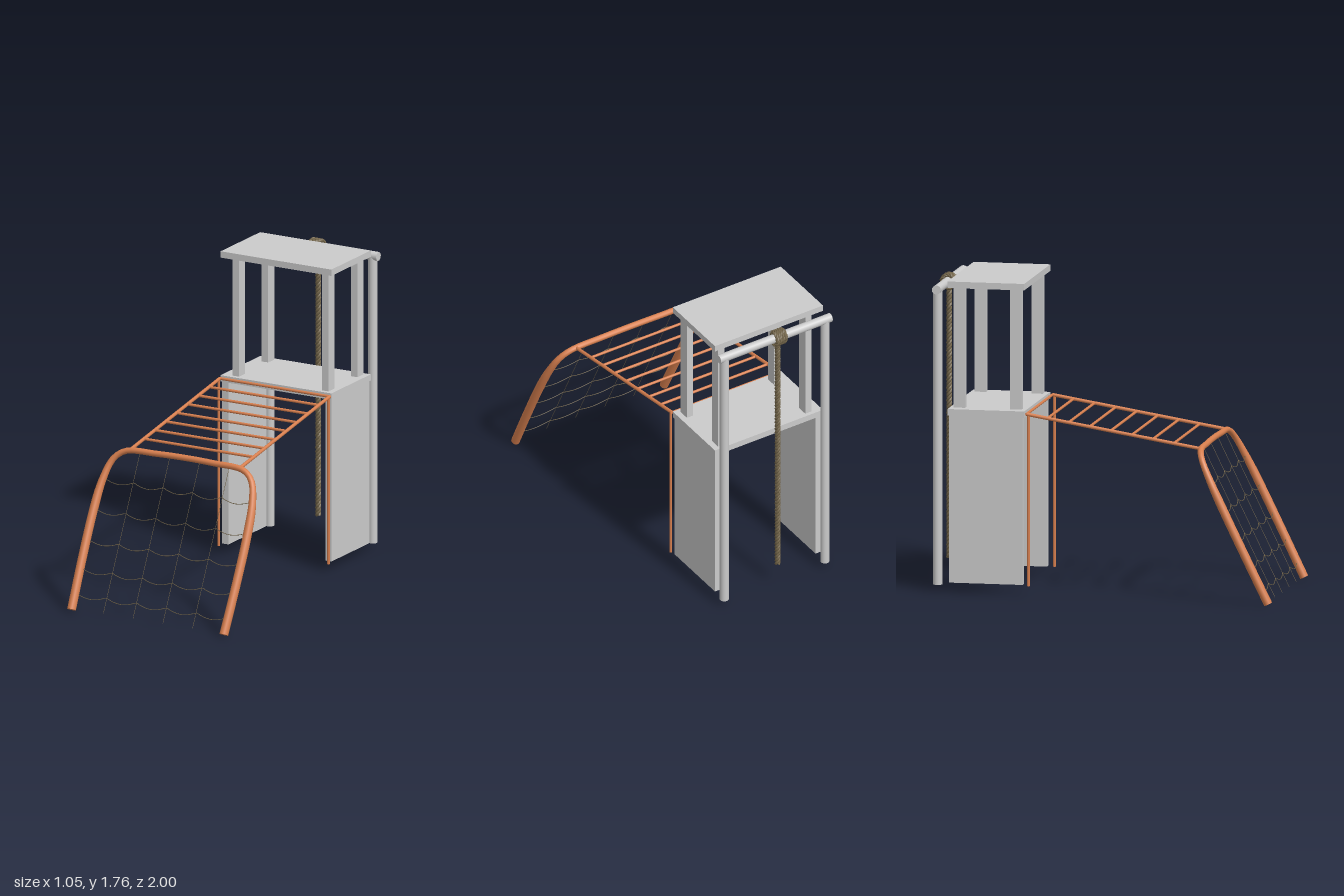
import * as THREE from 'three';

const V = (x, y, z) => new THREE.Vector3(x, y, z);
const grey = new THREE.MeshStandardMaterial({ color: 0xcccccc });
const orange = new THREE.MeshStandardMaterial({ color: 0xd9804f });
const ropeMat = new THREE.MeshStandardMaterial({ color: 0x75674b });

export function createModel() {
  const root = new THREE.Group();

  const add = (name, geo, mat, parent = root) => {
    const m = new THREE.Mesh(geo, mat);
    m.name = name;
    parent.add(m);
    return m;
  };
  const group = (name) => {
    const g = new THREE.Group();
    g.name = name;
    root.add(g);
    return g;
  };
  // box given by its limits on each axis
  const box = (name, [x0, x1], [y0, y1], [z0, z1], parent) =>
    add(name, new THREE.BoxGeometry(x1 - x0, y1 - y0, z1 - z0), grey, parent)
      .position.set((x0 + x1) / 2, (y0 + y1) / 2, (z0 + z1) / 2);
  // round bar between two points
  const bar = (name, a, b, r, mat, parent, sides = 16) => {
    const m = add(name, new THREE.CylinderGeometry(r, r, a.distanceTo(b), sides), mat, parent);
    m.position.copy(a).lerp(b, 0.5);
    m.quaternion.setFromUnitVectors(V(0, 1, 0), b.clone().sub(a).normalize());
  };

  // tower: roof, deck, side walls and four posts
  const tower = group('tower');
  box('roof', [-0.36, 0.36], [1.73, 1.767], [-0.888, -0.448], tower);
  box('deck', [-0.36, 0.36], [1.005, 1.042], [-0.888, -0.448], tower);
  for (const s of [-1, 1]) {
    const xs = [s * 0.315, s * 0.355].sort((a, b) => a - b);
    box('sideWall', xs, [0.055, 1.005], [-0.88, -0.458], tower);
  }
  for (const x of [-0.277, 0.304])
    for (const z of [-0.508, -0.833])
      box('roofPost', [x - 0.021, x + 0.021], [1.042, 1.73], [z - 0.033, z + 0.033], tower);

  // climbing frame behind the tower
  const barY = 1.718, barZ = -0.949;
  const frame = group('ropeFrame');
  for (const x of [-0.333, 0.337])
    bar('framePole', V(x, 0.04, barZ), V(x, barY, barZ), 0.026, grey, frame);
  bar('frameCrossbar', V(-0.37, barY, barZ), V(0.374, barY, barZ), 0.026, grey, frame);

  // twisted rope: three strands wound around a centre line
  const twistedRope = (name, curve, n, turns, r, parent) => {
    const f = curve.computeFrenetFrames(n);
    for (let k = 0; k < 3; k++) {
      const pts = [];
      for (let i = 0; i <= n; i++) {
        const a = (i / n) * turns * Math.PI * 2 + (k / 3) * Math.PI * 2;
        pts.push(curve.getPointAt(i / n)
          .addScaledVector(f.normals[i], Math.cos(a) * r * 0.48)
          .addScaledVector(f.binormals[i], Math.sin(a) * r * 0.48));
      }
      add(name, new THREE.TubeGeometry(new THREE.CatmullRomCurve3(pts), n, r * 0.54, 6), ropeMat, parent);
    }
  };
  const rope = group('climbingRope');
  twistedRope('ropeStrand', new THREE.LineCurve3(V(-0.018, 0.145, barZ), V(-0.018, 1.69, barZ)), 200, 22, 0.017, rope);
  const coil = [];
  for (let i = 0; i <= 64; i++) {
    const a = (i / 64) * Math.PI * 8;
    coil.push(V(-0.062 + 0.07 * i / 64, barY - 0.036 * Math.cos(a), barZ + 0.036 * Math.sin(a)));
  }
  twistedRope('knotStrand', new THREE.CatmullRomCurve3(coil), 160, 14, 0.013, rope);

  // sloping overhead ladder with two uprights
  const ladder = group('overheadLadder');
  const ladderY = (z) => 1.027 - (z + 0.435) * 0.164;
  for (const x of [-0.357, 0.357]) {
    bar('ladderRail', V(x, ladderY(-0.435), -0.435), V(x, ladderY(0.56), 0.56), 0.01, orange, ladder, 10);
    bar('ladderUpright', V(x, 0.05, -0.423), V(x, 1.02, -0.423), 0.008, orange, ladder, 10);
  }
  for (let i = 0; i < 8; i++) {
    const z = -0.435 + i * 0.1207;
    bar('rung', V(-0.357, ladderY(z), z), V(0.357, ladderY(z), z), 0.008, orange, ladder, 10);
  }

  // leaning arch, thinner along its top
  const slopeZ = (y) => 0.98 - (y - 0.014) * 0.488;
  const half = [[0.495, 0.014], [0.501, 0.28], [0.5, 0.53], [0.487, 0.69], [0.45, 0.805], [0.385, 0.854], [0.18, 0.866]];
  const outline = [...half.map(([x, y]) => [-x, y]), [0, 0.869], ...half.slice().reverse()];
  const path = new THREE.CatmullRomCurve3(outline.map(([x, y]) => V(x, y, slopeZ(y))), false, 'centripetal');
  const arch = group('netArch');
  const N = 80, R = 0.025, S = 12;
  const tube = new THREE.TubeGeometry(path, N, R, S);
  const p = tube.attributes.position, v = V(0, 0, 0);
  for (let i = 0; i <= N; i++) {
    const c = path.getPointAt(i / N);
    const scale = 1 - 0.3 * THREE.MathUtils.smoothstep(c.y, 0.55, 0.86);
    for (let j = 0; j <= S; j++) {
      const k = i * (S + 1) + j;
      v.fromBufferAttribute(p, k).sub(c).multiplyScalar(scale).add(c);
      p.setXYZ(k, v.x, v.y, v.z);
    }
  }
  add('archTube', tube, orange, arch);
  for (const t of [0, 1]) {
    const cap = add('archFoot', new THREE.CircleGeometry(R, S), orange, arch);
    cap.position.copy(path.getPointAt(t));
    cap.quaternion.setFromUnitVectors(V(0, 0, 1), path.getTangentAt(t).multiplyScalar(t ? 1 : -1));
  }

  // net: five sagging rows of five spans, four straight columns
  const net = group('climbingNet');
  for (const y of [0.7, 0.54, 0.38, 0.23, 0.1]) {
    const w = y > 0.6 ? 0.475 : 0.49;
    const pts = [];
    for (let i = 0; i <= 40; i++) {
      const h = y - 0.02 * Math.abs(Math.sin((i / 8) * Math.PI));
      pts.push(V(-w + (2 * w * i) / 40, h, slopeZ(h)));
    }
    add('netRow', new THREE.TubeGeometry(new THREE.CatmullRomCurve3(pts), 80, 0.002, 5), ropeMat, net);
  }
  for (const x of [-0.29, -0.097, 0.097, 0.29])
    bar('netColumn', V(x, 0.02, slopeZ(0.02)), V(x, 0.86, slopeZ(0.86)), 0.0013, ropeMat, net, 5);

  return root;
}
